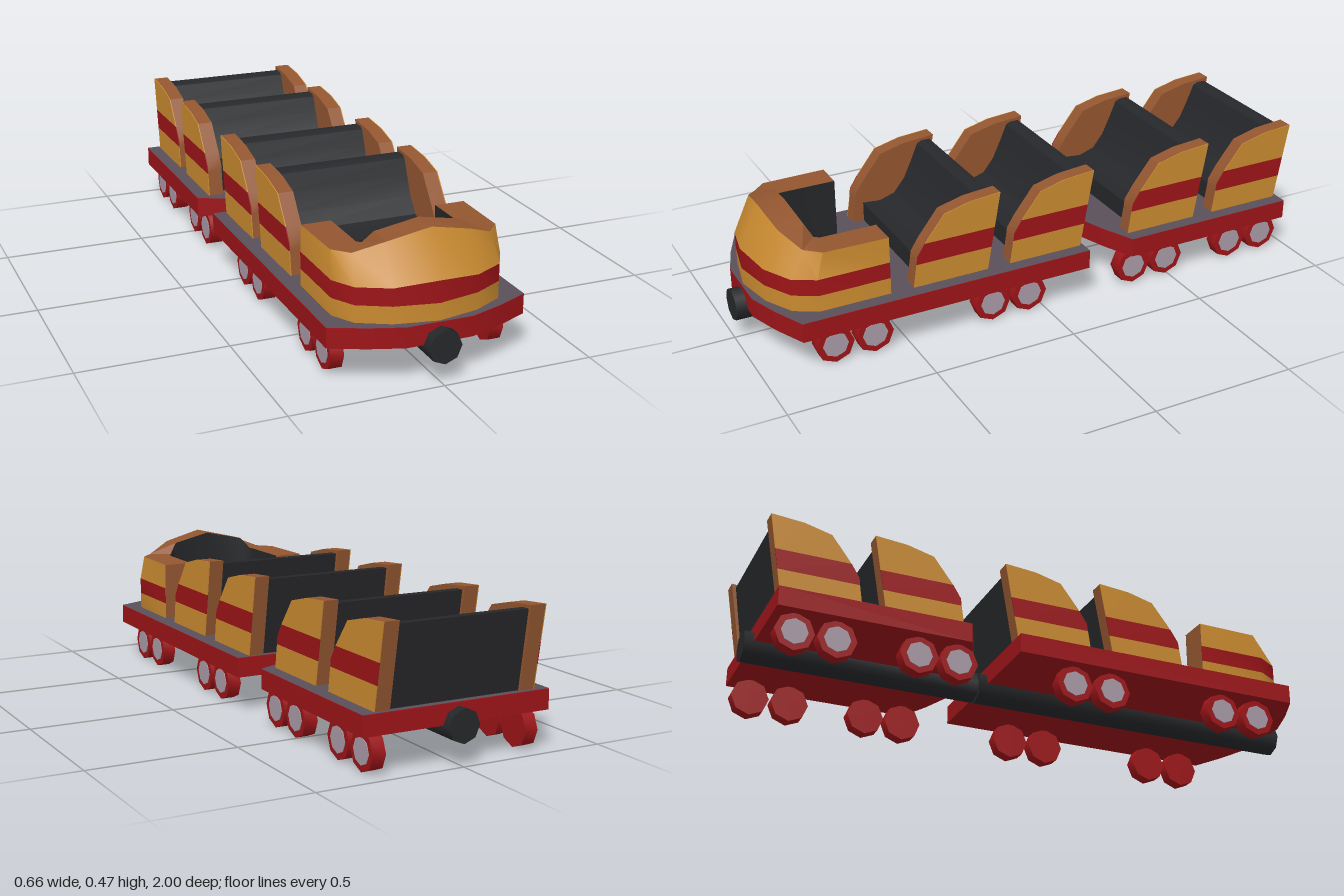
import * as THREE from 'three';
import { toCreasedNormals } from 'three/addons/utils/BufferGeometryUtils.js';

const mat = (color, side = THREE.FrontSide) => new THREE.MeshStandardMaterial({ color, side });
const gold = mat(0xc98a30, THREE.DoubleSide);
const red = mat(0x9c1418, THREE.DoubleSide);
const brown = mat(0x935630, THREE.DoubleSide);
const dark = mat(0x26272a, THREE.DoubleSide);
const deckGrey = mat(0x5a4f5a);
const hubGrey = mat(0xa899a6);

function add(parent, name, geometry, material) {
  const mesh = new THREE.Mesh(geometry, material);
  mesh.name = name;
  parent.add(mesh);
  return mesh;
}

const shapeOf = (pts) => new THREE.Shape(pts.map(([a, b]) => new THREE.Vector2(a, b)));

// Side profile given as [z, y], extruded across x from x0 to x1
function slab(pts, x0, x1) {
  const g = new THREE.ExtrudeGeometry(shapeOf(pts), { depth: x1 - x0, bevelEnabled: false });
  g.rotateY(-Math.PI / 2);
  g.translate(x1, 0, 0);
  return toCreasedNormals(g, 0.5);
}

// Surface between two rows of points
function strip(a, b) {
  const index = [];
  const n = a.length;
  for (let i = 0; i < n - 1; i++) index.push(i, n + i, n + i + 1, i, n + i + 1, i + 1);
  const g = new THREE.BufferGeometry();
  g.setAttribute('position', new THREE.Float32BufferAttribute([...a, ...b].flat(), 3));
  g.setIndex(index);
  g.computeVertexNormals();
  return toCreasedNormals(g, 0.6);
}

// Flat platform with a blunt nose, and the coupling bar below it
function chassis(name, rear, corner, barFront, barRear) {
  const group = new THREE.Group();
  group.name = name;
  const half = [[0.33, rear], [0.33, corner], [0.22, corner + 0.05], [0.11, corner + 0.088]];
  const outline = [...half, ...half.map(([x, z]) => [-x, z]).reverse()];
  const shape = shapeOf(outline.map(([x, z]) => [x, -z]));

  const base = new THREE.ExtrudeGeometry(shape, { depth: 0.066, bevelEnabled: false });
  base.rotateX(-Math.PI / 2);
  base.translate(0, 0.126, 0);
  add(group, 'platform', toCreasedNormals(base, 0.5), red);

  const deck = new THREE.ShapeGeometry(shape);
  deck.rotateX(-Math.PI / 2);
  deck.translate(0, 0.1935, 0);
  add(group, 'deck', deck, deckGrey);

  const bar = new THREE.CylinderGeometry(0.055, 0.055, barFront - barRear, 8);
  bar.rotateX(Math.PI / 2);
  bar.translate(0, 0.125, (barFront + barRear) / 2);
  add(group, 'couplingBar', toCreasedNormals(bar, 0.9), dark);
  return group;
}

// Octagonal wheel with a pale hub on its outer face
function wheel(side, z) {
  const group = new THREE.Group();
  group.name = 'wheel';
  const tyre = new THREE.CylinderGeometry(0.065, 0.065, 0.045, 8);
  const hub = new THREE.CylinderGeometry(0.044, 0.044, 0.006, 8);
  tyre.rotateZ(Math.PI / 2);
  hub.rotateZ(Math.PI / 2);
  hub.translate(side * 0.022, 0, 0);
  add(group, 'tyre', toCreasedNormals(tyre, 0.9), red);
  add(group, 'hub', hub, hubGrey);
  group.position.set(side * 0.271, 0.065, z);
  return group;
}

// Bench with a tall panel at each end
function seat(offset) {
  const group = new THREE.Group();
  group.name = 'seat';
  const low = [[0.207, 0.193], [0.475, 0.193], [0.463, 0.274], [0.193, 0.274]];
  const band = [[0.193, 0.274], [0.463, 0.274], [0.46, 0.3], [0.432, 0.344], [0.181, 0.344]];
  const high = [[0.181, 0.344], [0.432, 0.344], [0.362, 0.434], [0.27, 0.457], [0.16, 0.466]];
  const panel = [low[0], low[1], low[2], band[2], ...high.slice(1)];
  for (const side of [-1, 1]) {
    const span = (a, b) => (side > 0 ? [a, b] : [-b, -a]);
    add(group, 'sidePanel', slab(panel, ...span(0.23, 0.281)), brown);
    add(group, 'lowerTrim', slab(low, ...span(0.281, 0.284)), gold);
    add(group, 'stripe', slab(band, ...span(0.281, 0.284)), red);
    add(group, 'upperTrim', slab(high, ...span(0.281, 0.284)), gold);
  }
  const bench = [[0.215, 0.193], [0.434, 0.193], [0.434, 0.262], [0.37, 0.257], [0.315, 0.275],
    [0.275, 0.325], [0.245, 0.39], [0.222, 0.445], [0.205, 0.453], [0.175, 0.453]];
  add(group, 'bench', slab(bench, -0.23, 0.23), dark);
  group.position.z = offset;
  return group;
}

// U-shaped nose wrapping round the front of the leading car
function nose() {
  const group = new THREE.Group();
  group.name = 'nose';
  // Stations from the rear of one arm to the centre: foot, top edge, inner edge, stripe top
  const half = [
    { foot: [0.283, 0.555], top: [0.281, 0.395, 0.555], inner: [0.18, 0.395, 0.555], stripe: 0.307 },
    { foot: [0.283, 0.80], top: [0.276, 0.395, 0.775], inner: [0.18, 0.395, 0.745], stripe: 0.307 },
    { foot: [0.24, 0.875], top: [0.23, 0.395, 0.825], inner: [0.17, 0.398, 0.765], stripe: 0.307 },
    { foot: [0.14, 0.928], top: [0.14, 0.433, 0.87], inner: [0.14, 0.436, 0.785], stripe: 0.308 },
    { foot: [0, 0.956], top: [0, 0.466, 0.887], inner: [0, 0.466, 0.797], stripe: 0.322 },
  ];
  const flip = ([x, ...rest]) => [-x, ...rest];
  const mirrored = half.slice(0, -1).reverse().map((s) => (
    { foot: flip(s.foot), top: flip(s.top), inner: flip(s.inner), stripe: s.stripe }));
  const stations = [...half, ...mirrored];
  const outer = (y) => stations.map(({ foot: [x, z] }) => [x, y, z]);
  const rows = [
    outer(0.193),
    outer(0.25),
    stations.map(({ foot: [x, z], stripe }) => [x, stripe, z]),
    stations.map((s) => s.top),
    stations.map((s) => s.inner),
    stations.map(({ inner: [x, , z] }) => [x, 0.193, z]),
  ];
  const bands = [['lowerShell', gold], ['stripe', red], ['upperShell', gold], ['rim', brown], ['innerWall', dark]];
  bands.forEach(([name, material], i) => add(group, name, strip(rows[i], rows[i + 1]), material));
  // Flat rear ends of both arms
  for (const side of [-1, 1]) {
    const end = new THREE.PlaneGeometry(0.102, 0.202);
    end.rotateY(Math.PI);
    end.translate(side * 0.2315, 0.294, 0.555);
    add(group, 'armEnd', end, brown);
  }
  return group;
}

export function createModel() {
  const model = new THREE.Group();
  model.name = 'coasterTrain';
  const front = chassis('frontCar', -0.157, 0.875, 1, -0.186);
  const rear = chassis('rearCar', -0.968, -0.328, -0.192, -1);
  front.add(nose(), seat(0), seat(-0.352));
  rear.add(seat(-0.812), seat(-1.16));
  for (const side of [-1, 1]) {
    for (const z of [0.757, 0.62, 0.194, 0.056]) front.add(wheel(side, z));
    for (const z of [-0.357, -0.492, -0.763, -0.9]) rear.add(wheel(side, z));
  }
  model.add(front, rear);
  return model;
}
